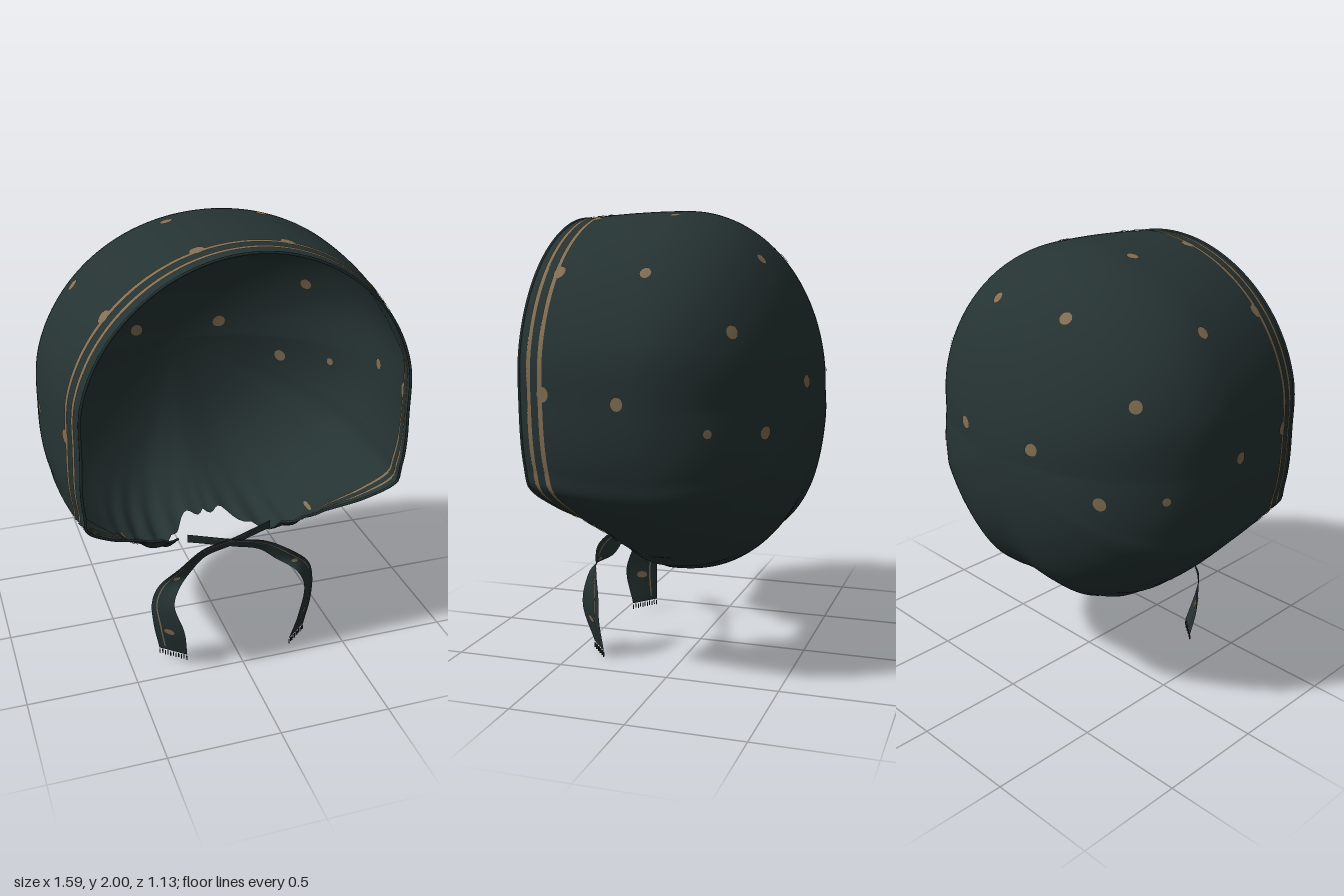
import * as THREE from 'three';

const cloth = new THREE.MeshStandardMaterial({ color: 0x263333, side: THREE.DoubleSide });
cloth.name = 'dark cloth';
const tan = new THREE.MeshStandardMaterial({ color: 0x826e52, side: THREE.DoubleSide });
tan.name = 'tan print';

const CY = 1.2, Z0 = 0.05, DEPTH = 0.61, K = 0.65, SQ = K * Math.PI / 2;

// Angle from straight down, outline radius, rim z, rim radius
const KEYS = [
  [0, 0.75, -0.13, 0.74], [0.17, 0.775, -0.08, 0.77], [0.3, 0.805, 0.1, 0.79], [0.386, 0.815, 0.3, 0.665],
  [0.695, 0.81, 0.37, 0.70], [0.94, 0.816, 0.47, 0.745], [1.107, 0.828, 0.53, 0.78],
  [1.2, 0.815, 0.545, 0.755], [1.571, 0.79, 0.56, 0.71], [1.9, 0.81, 0.56, 0.735],
  [2.356, 0.813, 0.555, 0.755], [Math.PI, 0.8, 0.54, 0.77],
];

// Smooth (Hermite) lookup in the key table
function look(a, c) {
  let i = 0;
  while (i < KEYS.length - 2 && a > KEYS[i + 1][0]) i++;
  const slope = (j) => (j === 0 || j === KEYS.length - 1) ? 0
    : (KEYS[j + 1][c] - KEYS[j - 1][c]) / (KEYS[j + 1][0] - KEYS[j - 1][0]);
  const p = KEYS[i], q = KEYS[i + 1], h = q[0] - p[0];
  const t = Math.min(1, (a - p[0]) / h), t2 = t * t, t3 = t2 * t;
  return p[c] * (2 * t3 - 3 * t2 + 1) + q[c] * (3 * t2 - 2 * t3)
    + h * slope(i) * (t3 - 2 * t2 + t) + h * slope(i + 1) * (t3 - t2);
}

const fold = (a) => Math.abs(Math.atan2(Math.sin(a), Math.cos(a)));
const power = (b) => 2 + 0.5 * Math.max(0, Math.cos(b));

// Length of the cloth from the back pole to the rim
function rimS(a) {
  const b = fold(a), z = look(b, 2);
  const teeth = 0.025 * (1 - THREE.MathUtils.smoothstep(b, 0.25, 0.37)) * Math.sin(37 * b);
  const s = z > Z0 ? SQ + z - Z0 : K * Math.acos(((Z0 - z) / DEPTH) ** (power(b) / 2));
  return s + teeth;
}

// Point of the bonnet at angle a, distance s from the back pole
function shell(a, s) {
  const b = fold(a), e = 2 / power(b), R = look(b, 1), zEnd = look(b, 2);
  let r, z;
  if (s < SQ) {
    const t = Math.max(0, s / K);
    r = R * Math.sin(t) ** e;
    z = Z0 - DEPTH * Math.max(0, Math.cos(t)) ** e;
  } else {
    z = Z0 + s - SQ;
    const f = Math.min(1, (s - SQ) / Math.max(0.05, zEnd - Z0));
    r = R - (R - look(b, 3)) * f * f;
  }
  // gathers towards the neck
  const w = (1 - THREE.MathUtils.smoothstep(b, 0.3, 0.8)) * THREE.MathUtils.smoothstep(s, 0.5, 1.05);
  r *= 1 + 0.014 * w * Math.sin(44 * b);
  return new THREE.Vector3(r * Math.sin(a), CY - r * Math.cos(a), z);
}

function raised(a, s, d) {
  const p = shell(a, s), e = 0.004;
  const da = shell(a + e, s).sub(shell(a - e, s)), ds = shell(a, s + e).sub(shell(a, s - e));
  return p.addScaledVector(da.cross(ds).normalize(), d);
}

// Surface from a rule f(u, v)
function grid(f, nu, nv, wrap = false) {
  const pos = [], idx = [], cols = wrap ? nu : nu + 1;
  for (let j = 0; j <= nv; j++) {
    for (let i = 0; i < cols; i++) pos.push(...f(i / nu, j / nv).toArray());
  }
  for (let j = 0; j < nv; j++) {
    for (let i = 0; i < nu; i++) {
      const k = (i + 1) % cols, p = j * cols, q = p + cols;
      idx.push(p + i, p + k, q + k, p + i, q + k, q + i);
    }
  }
  const g = new THREE.BufferGeometry();
  g.setAttribute('position', new THREE.Float32BufferAttribute(pos, 3));
  g.setIndex(idx);
  g.computeVertexNormals();
  return g;
}

function add(parent, name, geometry, material) {
  const m = new THREE.Mesh(geometry, material);
  m.name = name;
  parent.add(m);
  return m;
}

// Printed spot: angle, distance, half width, half length
function spot(parent, name, a, s, w = 0.028, l = 0.026) {
  const p = shell(a, s), r = Math.hypot(p.x, p.y - CY);
  for (const d of [0.004, -0.004]) {
    add(parent, name, grid((u, v) => {
      const t = u * Math.PI * 2;
      return raised(a + v * w * Math.cos(t) / r, s + v * l * Math.sin(t), d);
    }, 14, 2, true), tan);
  }
}

// Ribbon edges, outer and inner
const OUTER = [[-0.2, 0.6, 0.29], [0, 0.575, 0.35], [0.15, 0.55, 0.37], [0.27, 0.495, 0.41],
  [0.36, 0.4, 0.38], [0.39, 0.3, 0.36], [0.385, 0.18, 0.36], [0.358, 0.03, 0.35]];
const INNER = [[-0.2, 0.56, 0.29], [0, 0.53, 0.34], [0.13, 0.49, 0.34], [0.2, 0.44, 0.36],
  [0.28, 0.4, 0.43], [0.31, 0.33, 0.455], [0.275, 0.2, 0.485], [0.25, 0.03, 0.44]];
const curve = (pts) => new THREE.CatmullRomCurve3(pts.map((p) => new THREE.Vector3(...p)));

function tie(side) {
  const g = new THREE.Group();
  g.name = side > 0 ? 'leftTie' : 'rightTie';
  const o = curve(OUTER), n = curve(INNER);
  const lift = side > 0 ? 0 : 0.022;
  const at = (u, v, d = 0) => {
    const a = o.getPoint(u), b = n.getPoint(u);
    const along = o.getTangent(u).add(n.getTangent(u));
    const normal = along.cross(b.clone().sub(a)).normalize();
    const p = a.lerp(b, v).addScaledVector(normal, d);
    return p.set(p.x * side, p.y + lift * u, p.z + (side > 0 ? 0 : -0.008 * (1 - u)));
  };
  add(g, 'ribbon', grid((u, v) => at(u, v), 48, 4), cloth);
  for (const d of [0.003, -0.003]) {
    add(g, 'ribbonStripe', grid((u, v) => at(0.08 + 0.9 * u, 0.22 + 0.05 * v, d), 48, 1), tan);
    for (const c of [0.5, 0.88]) {
      add(g, 'ribbonSpot', grid((u, v) => at(c + 0.015 * v * Math.sin(u * 6.2832),
        0.5 + 0.17 * v * Math.cos(u * 6.2832), d), 12, 1, true), tan);
    }
  }
  // frayed end
  const thread = new THREE.BoxGeometry(0.004, 0.022, 0.004);
  for (let i = 0; i < 11; i++) {
    const p = at(1, 0.02 + i * 0.096);
    add(g, 'fringe', thread, cloth).position.set(p.x, p.y - (i % 2 ? 0.015 : 0.019), p.z);
  }
  return g;
}

export function createModel() {
  const model = new THREE.Group();
  model.name = 'bonnet';

  // Cap
  add(model, 'cap', grid((u, v) => {
    const a = u * Math.PI * 2;
    return shell(a, v * rimS(a));
  }, 288, 56, true), cloth);

  // Hem around the face
  const hem = [];
  for (let i = 0; i <= 120; i++) {
    const a = 0.386 + (i / 120) * (Math.PI * 2 - 0.772);
    hem.push(shell(a, rimS(a)));
  }
  add(model, 'hem', new THREE.TubeGeometry(new THREE.CatmullRomCurve3(hem), 200, 0.006, 6), cloth);

  // Twin stripes behind the hem, printed through to the lining
  for (const [near, far] of [[0.042, 0.062], [0.098, 0.12]]) {
    for (const d of [0.004, -0.004]) {
      add(model, 'brimStripe', grid((u, v) => {
        const a = 0.52 + u * (Math.PI * 2 - 1.04);
        return raised(a, rimS(a) - far + v * (far - near), d);
      }, 200, 2), tan);
    }
  }

  // Spots and the scallops on the rear stripe
  const spots = [[2.8, 0.58], [2.06, 0.61], [1.93, 0.183], [1.374, 0.44], [1.45, 0.7, 0.018, 0.018],
    [2.295, 1.01], [2.88, 1.02], [1.61, 1.07], [0.6, 1.09, 0.012, 0.06]];
  for (const side of [1, -1]) {
    for (const [a, ...rest] of spots) spot(model, 'spot', a * side, ...rest);
    for (const a of [2.9, 2.33, 1.64]) spot(model, 'scallop', a * side, rimS(a) - 0.122, 0.032, 0.028);
    model.add(tie(side));
  }
  return model;
}
